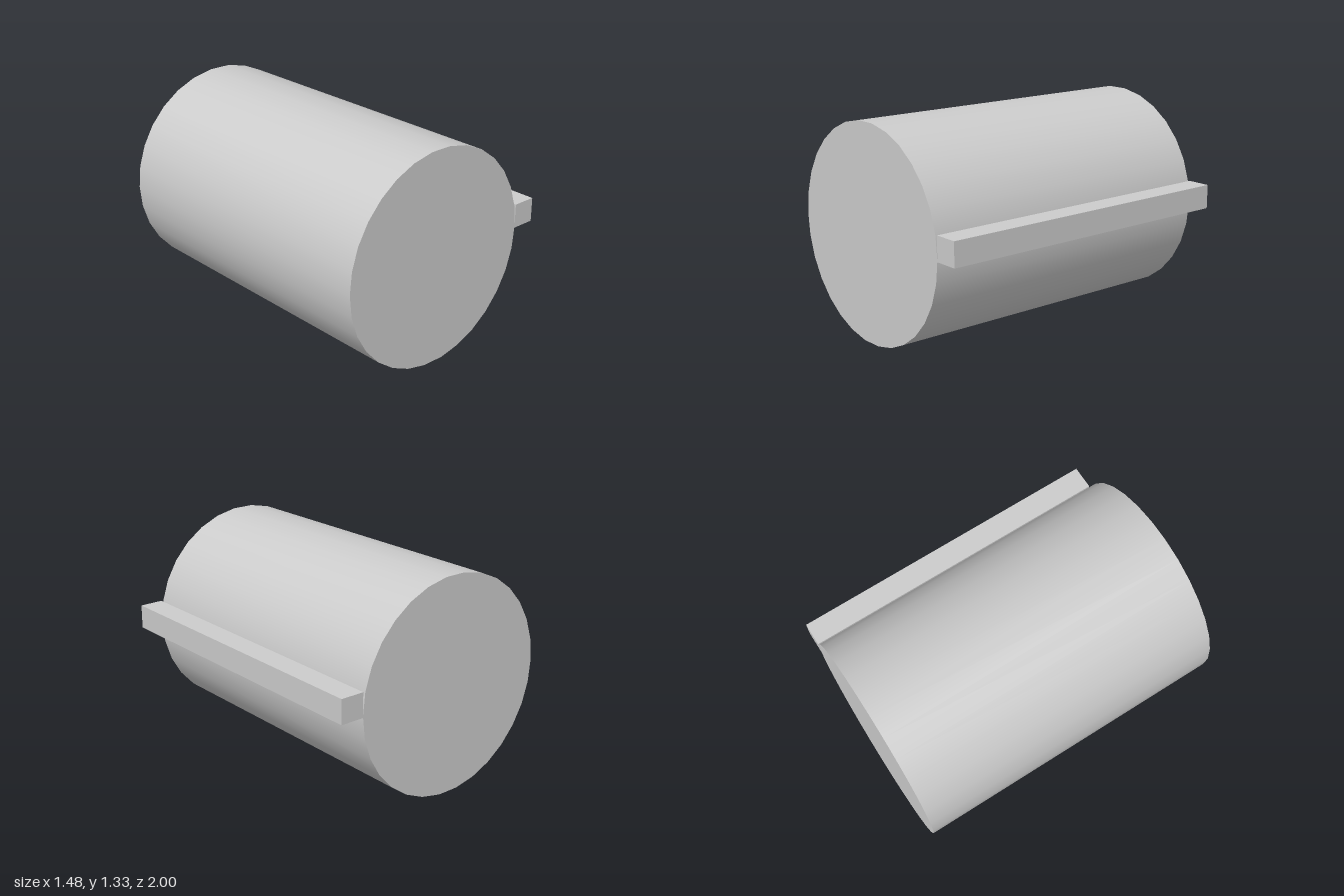
import * as THREE from 'three';

export function createModel() {
  const group = new THREE.Group();
  const material = new THREE.MeshStandardMaterial({ color: 0xcccccc });
  const length = 2, radius = 0.667, sides = 30, bar = 0.15;
  const halfWidth = radius + bar / 2;
  const centreY = radius * Math.cos(Math.PI / sides); // rests on a flat facet

  // Drum lying along z, with a corner pointing to +x
  const drumGeometry = new THREE.CylinderGeometry(radius, radius, length, sides, 1, false, Math.PI / 2);
  drumGeometry.rotateX(Math.PI / 2);
  const drum = new THREE.Mesh(drumGeometry, material);
  drum.name = 'drum';
  drum.position.set(radius - halfWidth, centreY, 0);
  group.add(drum);

  // Square bar running along the drum's left side
  const sideBar = new THREE.Mesh(new THREE.BoxGeometry(bar, bar, length), material);
  sideBar.name = 'sideBar';
  sideBar.position.set(halfWidth - bar / 2, 0.73, 0);
  group.add(sideBar);

  return group;
}
